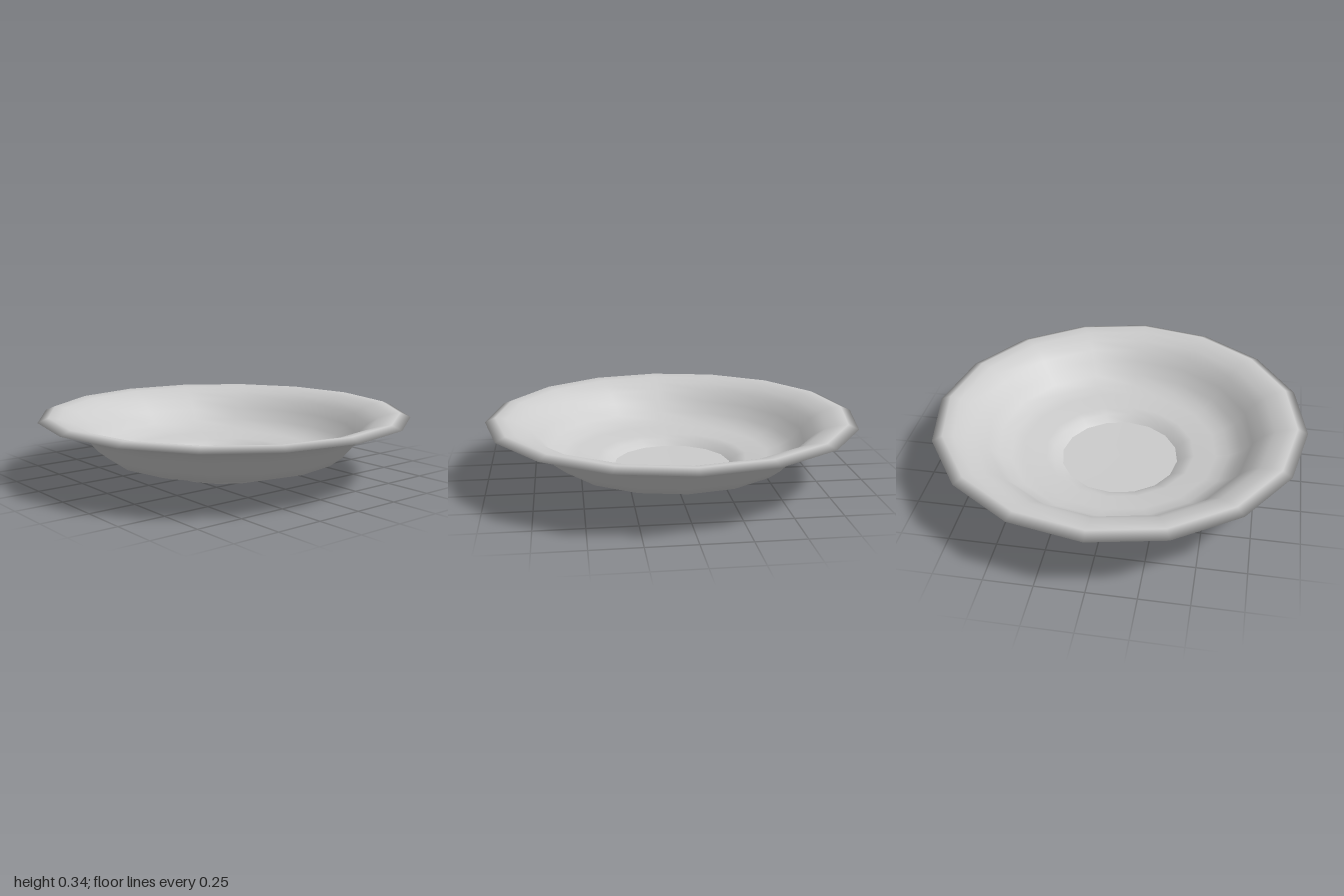
import * as THREE from 'three';

const SIDES = 16;

export function createModel() {
  const bowl = new THREE.Group();
  bowl.name = 'bowl';
  const material = new THREE.MeshStandardMaterial({ color: 0xcccccc });

  // Each part is a smooth 16-sided turned surface; separate parts keep creases sharp
  const turn = (name, profile) => {
    const points = profile.map(([r, y]) => new THREE.Vector2(r, y));
    const mesh = new THREE.Mesh(new THREE.LatheGeometry(points, SIDES), material);
    mesh.name = name;
    bowl.add(mesh);
  };

  // Slightly domed underside of the foot
  turn('footBase', [[0, 0], [0.18, 0.002], [0.325, 0.01]]);

  // Wall: up the outside, around the rim, and down the inside
  turn('wall', [
    [0.325, 0.01], [0.375, 0.046], [0.42, 0.06], [0.55, 0.077], [0.625, 0.1],
    [0.69, 0.15], [0.745, 0.215], [0.8, 0.26], [0.85, 0.285], [0.915, 0.3],
    [1, 0.322], [0.945, 0.345],
    [0.89, 0.335], [0.83, 0.315], [0.775, 0.28], [0.72, 0.225], [0.665, 0.165],
    [0.6, 0.127], [0.53, 0.112], [0.41, 0.098], [0.365, 0.084], [0.32, 0.052],
  ]);

  // Flat inside floor
  turn('floor', [[0.32, 0.052], [0, 0.05]]);

  return bowl;
}
